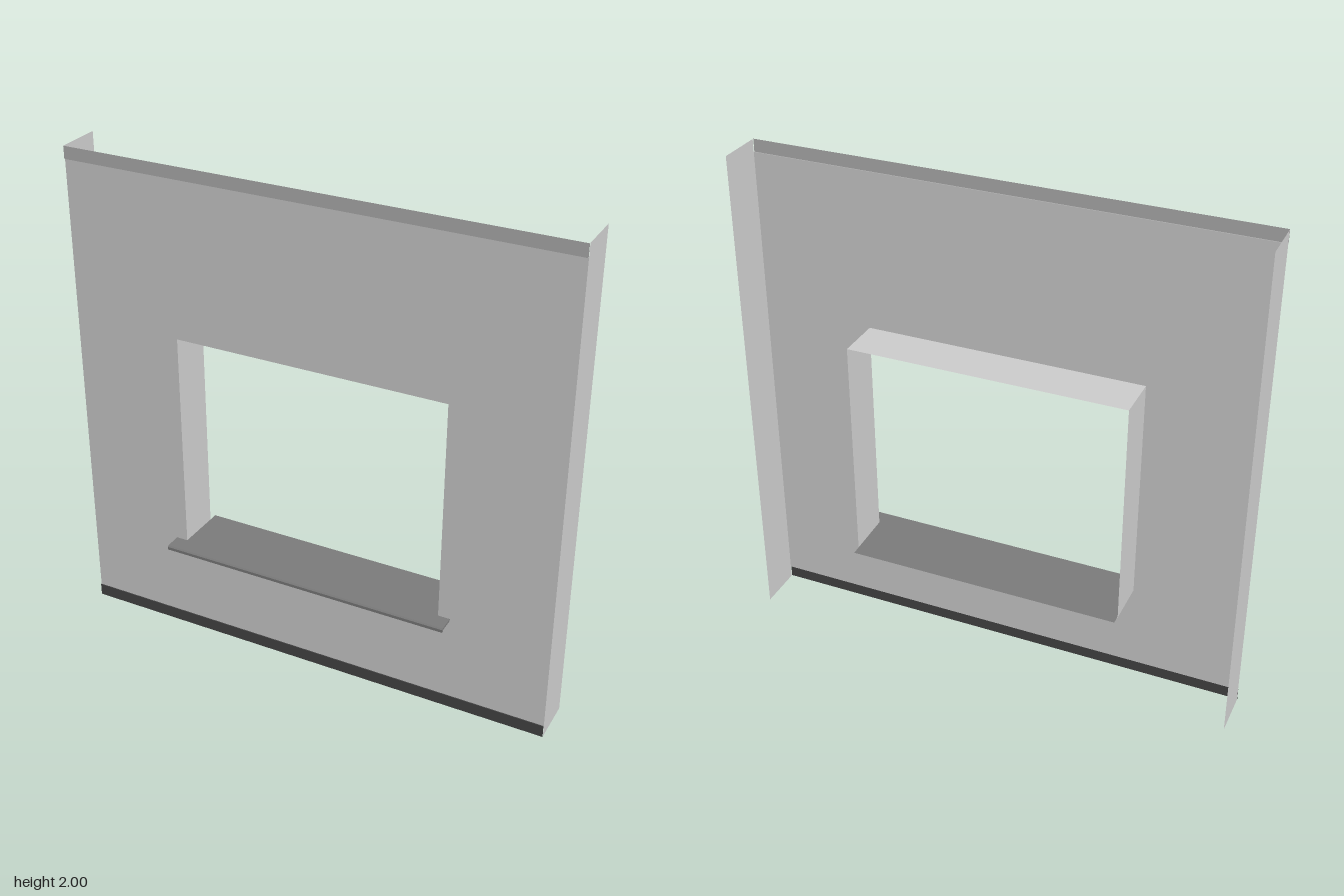
import * as THREE from 'three';

// Depth positions and opening limits
const WALL_Z = 0.075, BACK_Z = -0.108, LIP_Z = 0.079, SILL_Z = 0.146;
const HALF_W = 0.552, HEAD_Y = 1.315, SILL_Y = 0.411, BASE_Y = 0.4;

const sheet = (color) => new THREE.MeshStandardMaterial({ color, side: THREE.DoubleSide });
const grey = sheet(0xcccccc);
const sillGrey = sheet(0x7a7a7a);
const topGrey = sheet(0xaeaeae);
const baseGrey = sheet(0x444444);

function add(group, name, geometry, material) {
  const mesh = new THREE.Mesh(geometry, material);
  mesh.name = name;
  group.add(mesh);
  return mesh;
}

// Flat sheet swept along x from an open profile of [z, y] points
function sweepX(profile, halfWidth) {
  const pos = [];
  for (let i = 0; i < profile.length - 1; i++) {
    const [z0, y0] = profile[i], [z1, y1] = profile[i + 1];
    const a = [-halfWidth, y0, z0], b = [halfWidth, y0, z0];
    const c = [halfWidth, y1, z1], d = [-halfWidth, y1, z1];
    pos.push(...a, ...b, ...c, ...a, ...c, ...d);
  }
  const g = new THREE.BufferGeometry();
  g.setAttribute('position', new THREE.Float32BufferAttribute(pos, 3));
  g.computeVertexNormals();
  return g;
}

// Upright sheet at a given x, facing outwards, between the wall and its back edge
function sideSheet(x, y0, y1) {
  const g = new THREE.PlaneGeometry(WALL_Z - BACK_Z, y1 - y0);
  g.rotateY(Math.sign(x) * Math.PI / 2);
  g.translate(x, (y0 + y1) / 2, (WALL_Z + BACK_Z) / 2);
  return g;
}

function rect(path, x, y0, y1) {
  path.moveTo(-x, y0);
  path.lineTo(x, y0);
  path.lineTo(x, y1);
  path.lineTo(-x, y1);
  path.closePath();
  return path;
}

export function createModel() {
  const model = new THREE.Group();
  model.name = 'wallPanelWithWindow';

  // Wall face with the window opening
  const face = rect(new THREE.Shape(), 1, 0.05, 1.95);
  face.holes.push(rect(new THREE.Path(), HALF_W, BASE_Y, HEAD_Y));
  add(model, 'wallFace', new THREE.ShapeGeometry(face).translate(0, 0, WALL_Z), grey);

  // Slightly raised strips along the top and bottom
  add(model, 'topStrip', sweepX([[WALL_Z, 1.95], [LIP_Z, 1.95], [LIP_Z, 2]], 1), topGrey);
  add(model, 'baseStrip', sweepX([[LIP_Z, 0], [LIP_Z, 0.05], [WALL_Z, 0.05]], 1), baseGrey);

  // Side returns and window reveals, mirrored
  for (const [side, s] of [['left', 1], ['right', -1]]) {
    add(model, side + 'Return', sideSheet(s, 0, 2), grey);
    add(model, side + 'Reveal', sideSheet(s * HALF_W, BASE_Y, HEAD_Y), grey);
  }
  add(model, 'headReveal', sweepX([[WALL_Z, HEAD_Y], [BACK_Z, HEAD_Y]], HALF_W), grey);
  add(model, 'bottomReveal', sweepX([[WALL_Z, BASE_Y], [BACK_Z, BASE_Y]], HALF_W), grey);

  // Sill: thin sheet through the opening, and a wider front ledge with a drip nose
  const sill = new THREE.Group();
  sill.name = 'windowSill';
  model.add(sill);
  add(sill, 'innerSill', sweepX([[WALL_Z, SILL_Y], [-SILL_Z, SILL_Y - 0.006]], HALF_W), sillGrey);
  const ledge = new THREE.Shape([
    [WALL_Z, 0.402], [SILL_Z - 0.009, 0.402], [SILL_Z - 0.009, 0.394], [SILL_Z, 0.394],
    [SILL_Z, 0.406], [SILL_Z - 0.005, SILL_Y], [WALL_Z, SILL_Y],
  ].map(([z, y]) => new THREE.Vector2(-z, y)));
  const ledgeGeo = new THREE.ExtrudeGeometry(ledge, { depth: 1.2, bevelEnabled: false });
  ledgeGeo.translate(0, 0, -0.6).rotateY(Math.PI / 2);
  add(sill, 'sillLedge', ledgeGeo, sillGrey);

  return model;
}
